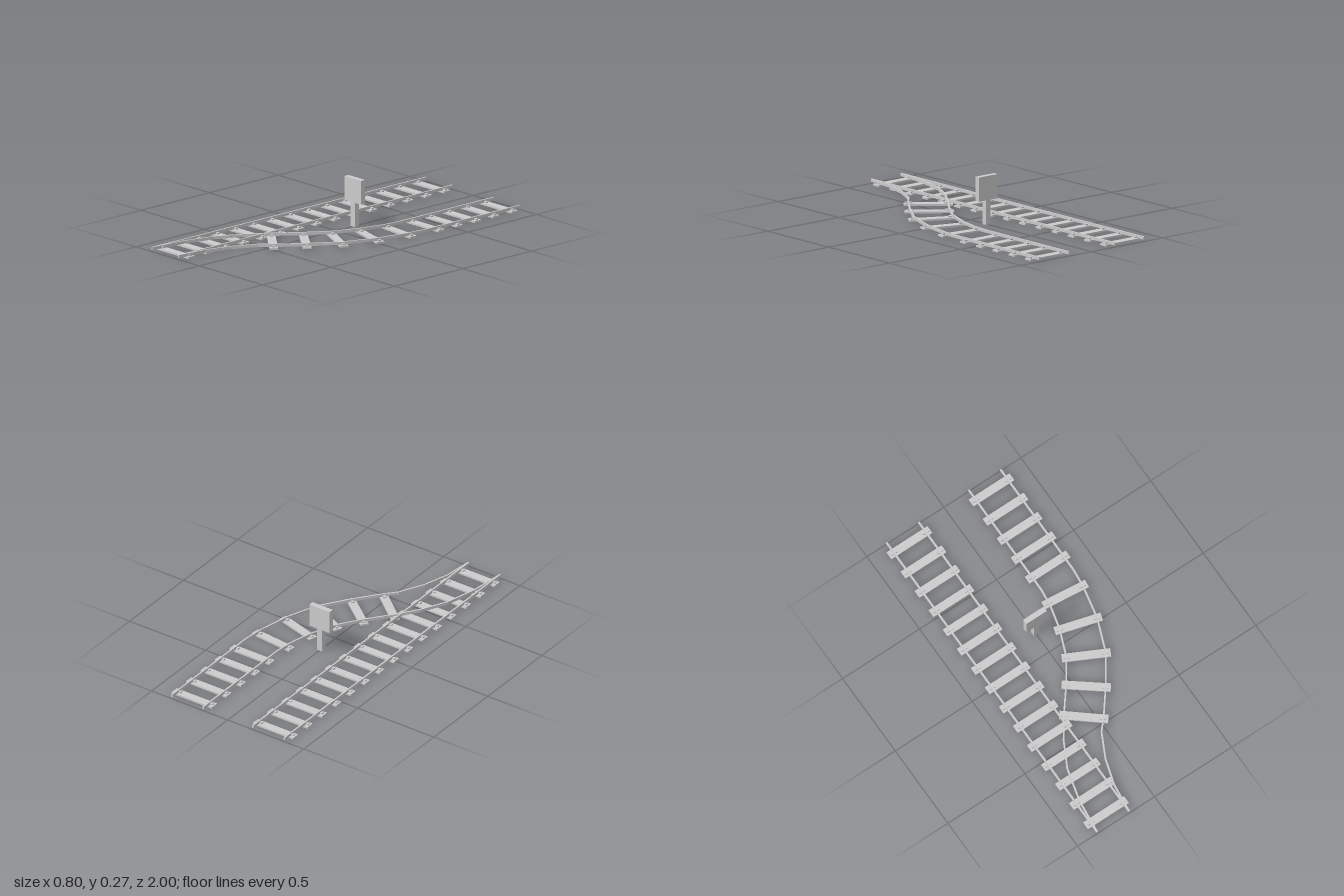
import * as THREE from 'three';

const material = new THREE.MeshStandardMaterial({ color: 0xcccccc, flatShading: true });
const SLEEPER_H = 0.01, RAIL_TOP = 0.026, HALF_GAUGE = 0.104;

function box(name, w, h, d, x, y, z) {
  const mesh = new THREE.Mesh(new THREE.BoxGeometry(w, h, d), material);
  mesh.name = name;
  mesh.position.set(x, y, z);
  return mesh;
}

// Rail: a long box whose segments are bent along a path of [x, z] points
function rail(name, points) {
  const n = points.length - 1;
  const path = points.map(([x, z]) => new THREE.Vector2(x, z));
  const geometry = new THREE.BoxGeometry(0.009, RAIL_TOP - SLEEPER_H, 1, 1, 1, n);
  const pos = geometry.attributes.position;
  for (let v = 0; v < pos.count; v++) {
    const i = Math.round((pos.getZ(v) + 0.5) * n);
    const dir = path[Math.min(i + 1, n)].clone().sub(path[Math.max(i - 1, 0)]).normalize();
    const off = pos.getX(v);
    pos.setXYZ(v, path[i].x + dir.y * off, pos.getY(v) + (RAIL_TOP + SLEEPER_H) / 2, path[i].y - dir.x * off);
  }
  geometry.computeVertexNormals();
  const mesh = new THREE.Mesh(geometry, material);
  mesh.name = name;
  return mesh;
}

// Sleeper with a clip under each rail
function sleeper(x, z, degrees = 0) {
  const group = new THREE.Group();
  group.name = 'sleeper';
  group.add(box('sleeperPlank', 0.265, SLEEPER_H, 0.047, 0, SLEEPER_H / 2, 0));
  for (const side of [-1, 1]) {
    group.add(box('railClip', 0.038, 0.008, 0.016, side * HALF_GAUGE, SLEEPER_H + 0.004, 0));
  }
  group.position.set(x, 0, z);
  group.rotation.y = -THREE.MathUtils.degToRad(degrees);
  return group;
}

export function createModel() {
  const model = new THREE.Group();
  model.name = 'railwaySwitch';

  // Straight track
  const straight = new THREE.Group();
  straight.name = 'straightTrack';
  for (let i = 0; i < 15; i++) straight.add(sleeper(-0.268, -0.935 + i * 0.1333));
  for (const side of [-1, 1]) {
    const x = -0.268 + side * HALF_GAUGE;
    straight.add(rail('straightRail', [[x, -1], [x, 1]]));
  }
  model.add(straight);

  // Branch track: straight at the back, curving into the other track
  const branch = new THREE.Group();
  branch.name = 'branchTrack';
  for (let i = 0; i < 5; i++) branch.add(sleeper(0.265, -0.935 + i * 0.1333));
  const curved = [
    [0.254, -0.22, 6], [0.217, -0.042, 16], [0.151, 0.13, 27],
    [0.052, 0.275, 38], [-0.058, 0.413, 39.5],
  ];
  for (const [x, z, angle] of curved) branch.add(sleeper(x, z, angle));
  branch.add(rail('branchRailRight', [
    [0.161, -1], [0.161, -0.31], [0.15, -0.21], [0.117, -0.075], [0.058, 0.075], [-0.03, 0.205],
    [-0.14, 0.345], [-0.225, 0.465], [-0.3, 0.61], [-0.35, 0.8], [-0.372, 1],
  ]));
  branch.add(rail('branchRailLeft', [
    [0.368, -1], [0.368, -0.31], [0.357, -0.2], [0.318, -0.012], [0.245, 0.178], [0.134, 0.34],
    [0.025, 0.48], [-0.03, 0.54], [-0.1, 0.68], [-0.145, 0.83], [-0.164, 1],
  ]));
  model.add(branch);

  // Square sign on a post between the tracks
  const sign = new THREE.Group();
  sign.name = 'sign';
  sign.add(box('signPost', 0.033, 0.135, 0.03, 0, 0.0675, -0.135));
  sign.add(box('signBoard', 0.132, 0.133, 0.03, 0, 0.2015, -0.135));
  model.add(sign);

  return model;
}
